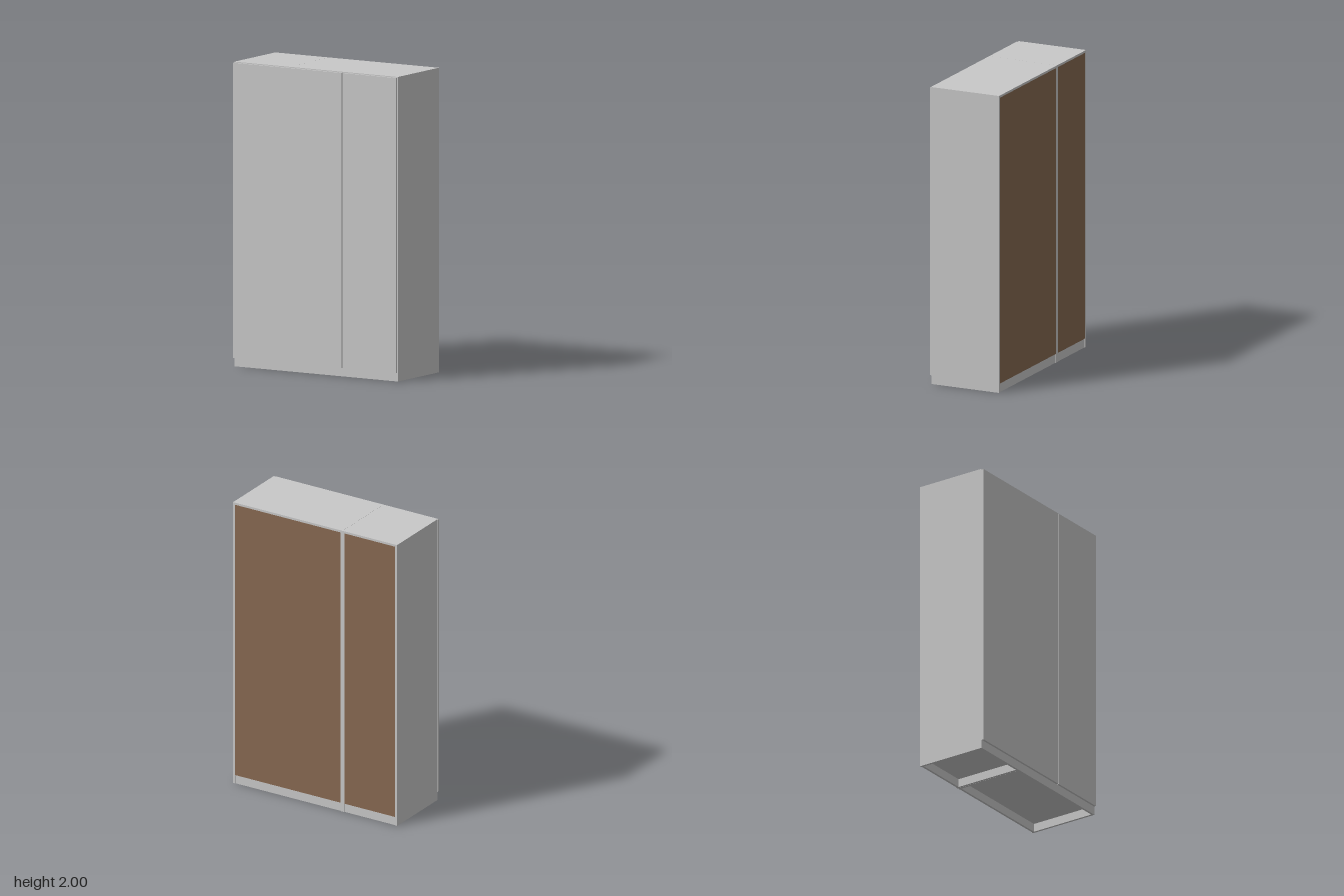
import * as THREE from 'three';

const T = 0.015;            // board thickness
const H = 2, W = 0.632;     // height, half width
const BACK = -0.253, FRONT = 0.237, DOOR_FRONT = 0.252;
const PLINTH = 0.056;

const lacquer = new THREE.MeshStandardMaterial({ color: 0xc8c8c8 });
lacquer.name = 'light grey board';
const hardboard = new THREE.MeshStandardMaterial({ color: 0x876951 });
hardboard.name = 'brown back board';

// Box given by its two extreme corners
function board(name, x0, x1, y0, y1, z0, z1, material = lacquer) {
  const mesh = new THREE.Mesh(new THREE.BoxGeometry(x1 - x0, y1 - y0, z1 - z0), material);
  mesh.position.set((x0 + x1) / 2, (y0 + y1) / 2, (z0 + z1) / 2);
  mesh.name = name;
  return mesh;
}

// Open-bottomed cabinet with plinth rails and a slightly recessed back
function cabinet(name, x0, x1) {
  const group = new THREE.Group();
  group.name = name;
  const a = x0 + T, b = x1 - T;
  group.add(
    board('sidePanel', x0, a, 0, H, BACK, FRONT),
    board('sidePanel', b, x1, 0, H, BACK, FRONT),
    board('topPanel', a, b, H - T, H, BACK, FRONT),
    board('bottomPanel', a, b, PLINTH, PLINTH + T, BACK + 0.004, FRONT),
    board('frontPlinth', a, b, 0, PLINTH, FRONT - T, FRONT),
    board('rearPlinth', a, b, 0, PLINTH, BACK + 0.004, BACK + 0.004 + T),
    board('backPanel', a, b, PLINTH + 0.003, H - T, BACK + 0.002, BACK + 0.008, hardboard),
  );
  return group;
}

export function createModel() {
  const wardrobe = new THREE.Group();
  wardrobe.name = 'wardrobe';
  wardrobe.add(cabinet('narrowCabinet', -W, -0.212), cabinet('wideCabinet', -0.211, W));

  // Three flat doors; the first two meet, the third keeps a gap
  const doors = [[-W, -0.2125], [-0.2125, 0.206], [0.212, 0.627]];
  for (const [x0, x1] of doors) {
    wardrobe.add(board('door', x0, x1, PLINTH + 0.001, H - 0.006, FRONT + 0.001, DOOR_FRONT));
  }
  return wardrobe;
}
